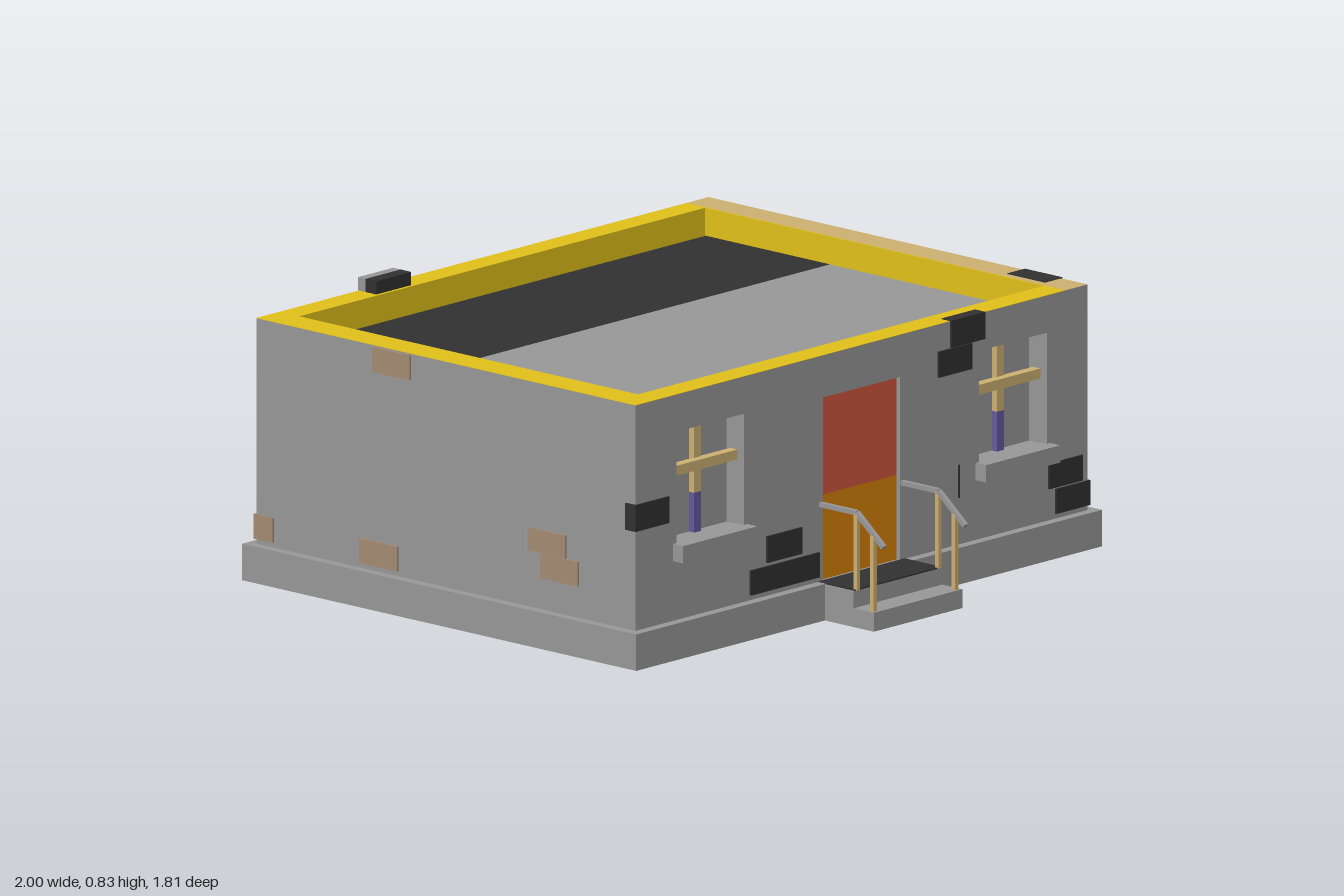
import * as THREE from 'three';

const mat = (name, color) => {
  const m = new THREE.MeshStandardMaterial({ color });
  m.name = name;
  return m;
};
const GRAY = mat('concrete gray', 0x999999), DARK = mat('dark stone', 0x313131);
const YELLOW = mat('core yellow', 0xe3c21a), TAN = mat('wood tan', 0xcfb273);
const RED = mat('door red', 0xd2563f), ORANGE = mat('door orange', 0xd88203);
const PURPLE = mat('bar purple', 0x675aa0), BROWN = mat('brown stone', 0xa48c72);

// Outer and inner wall planes, wall height and roof level
const X = 0.97, XI = 0.875, ZF = 0.645, ZFI = 0.567, ZB = -0.865, ZBI = -0.79, H = 0.79, ROOF = 0.717;

export function createModel() {
  const root = new THREE.Group();
  root.name = 'building';

  // Box given by its limits on each axis
  const box = (name, m, x0, x1, y0, y1, z0, z1, parent = root) => {
    const mesh = new THREE.Mesh(new THREE.BoxGeometry(x1 - x0, y1 - y0, z1 - z0), m);
    mesh.position.set((x0 + x1) / 2, (y0 + y1) / 2, (z0 + z1) / 2);
    mesh.name = name;
    parent.add(mesh);
  };
  // Square bar between two points in the same x plane
  const bar = (name, m, x, [z0, y0], [z1, y1], t) => {
    const mesh = new THREE.Mesh(new THREE.BoxGeometry(t, t, Math.hypot(z1 - z0, y1 - y0)), m);
    mesh.position.set(x, (y0 + y1) / 2, (z0 + z1) / 2);
    mesh.rotation.x = -Math.atan2(y1 - y0, z1 - z0);
    mesh.name = name;
    root.add(mesh);
  };

  // Plinth ring, reaching under the walls
  box('plinthFront', GRAY, -1, 1, 0, 0.11, 0.61, 0.675);
  box('plinthBack', GRAY, -1, 1, 0, 0.11, -0.895, -0.83);
  box('plinthRight', GRAY, 0.935, 1, 0, 0.11, -0.83, 0.61);
  box('plinthLeft', GRAY, -1, -0.935, 0, 0.11, -0.83, 0.61);

  // Long walls with openings cut through
  const longWall = (name, z0, z1, openings) => {
    const shape = new THREE.Shape();
    shape.moveTo(-XI, 0.004).lineTo(XI, 0.004).lineTo(XI, H - 0.001).lineTo(-XI, H - 0.001).closePath();
    for (const [a, b, c, d] of openings) {
      const hole = new THREE.Path();
      hole.moveTo(a, c).lineTo(a, d).lineTo(b, d).lineTo(b, c).closePath();
      shape.holes.push(hole);
    }
    const mesh = new THREE.Mesh(new THREE.ExtrudeGeometry(shape, { depth: z1 - z0, bevelEnabled: false }), GRAY);
    mesh.position.z = z0;
    mesh.name = name;
    root.add(mesh);
    box(name + 'Top', YELLOW, -XI, XI, H - 0.001, H, z0, z1);
    box(name + 'Underside', YELLOW, -XI, XI, 0.002, 0.004, z0, z1);
  };
  const opening = x => [x - 0.145, x + 0.145, 0.34, 0.677];
  longWall('frontWall', ZFI, ZF, [opening(-0.65), opening(0.65), [-0.165, 0.165, 0.11, 0.662]]);
  longWall('backWall', ZB, ZBI, [-0.65, 0, 0.65].map(opening));
  box('frontLining', YELLOW, -XI, XI, 0.002, H, ZFI - 0.004, ZFI);
  box('backLining', YELLOW, -XI, XI, 0.002, H, ZBI, ZBI + 0.004);

  // Short walls
  for (const s of [-1, 1]) {
    const lo = s < 0 ? -X : XI, hi = s < 0 ? -XI : X;
    box('sideWall', GRAY, lo, hi, 0.004, H - 0.001, ZB, ZF);
    box('sideWallTop', s < 0 ? YELLOW : TAN, lo, hi, H - 0.001, H, ZB, ZF);
    box('sideWallUnderside', YELLOW, lo, hi, 0.002, 0.004, ZB, ZF);
    const e = s * XI, f = s * (XI - 0.004);
    box('sideLining', YELLOW, Math.min(e, f), Math.max(e, f), 0.002, H, ZBI, ZFI);
  }

  // Roof deck in two tones, and the floor
  box('roofDark', DARK, -0.84, 0.84, ROOF - 0.02, ROOF, -0.755, -0.26);
  box('roofLight', GRAY, -0.84, 0.84, ROOF - 0.02, ROOF, -0.26, 0.535);
  box('floor', DARK, -0.84, 0.84, 0.002, 0.02, -0.755, 0.535);

  // Crack in the front wall
  box('wallCrack', DARK, 0.415, 0.421, 0.25, 0.35, ZF, ZF + 0.001);

  // Windows, built facing +z with the outer wall plane at z = 0
  const addWindow = (x, z, back) => {
    const g = new THREE.Group();
    g.name = 'window';
    box('windowPane', GRAY, -0.145, 0.145, 0.34, 0.677, -0.074, -0.07, g);
    box('upperMullion', TAN, -0.015, 0.015, 0.46, 0.677, -0.07, -0.05, g);
    box('lowerMullion', PURPLE, -0.015, 0.015, 0.34, 0.46, -0.07, -0.05, g);
    box('crossbar', TAN, -0.145, 0.145, 0.535, 0.565, -0.055, -0.025, g);
    box('sill', GRAY, -0.16, 0.16, 0.29, 0.342, -0.03, 0.04, g);
    box('innerSill', TAN, -0.237, 0.237, 0.29, 0.342, -0.11, -0.08, g);
    g.position.set(x, 0, z);
    if (back) g.rotation.y = Math.PI;
    root.add(g);
  };
  for (const x of [-0.65, 0.65]) addWindow(x, ZF, false);
  for (const x of [-0.65, 0, 0.65]) addWindow(x, ZB, true);

  // Door
  box('upperDoor', RED, -0.165, 0.165, 0.365, 0.662, 0.6, 0.632);
  box('lowerDoor', ORANGE, -0.165, 0.165, 0.11, 0.365, 0.6, 0.632);

  // Steps, running through the wall to an inner threshold
  box('upperStep', GRAY, -0.19, 0.19, 0, 0.108, 0.536, 0.79);
  box('landing', DARK, -0.185, 0.185, 0.108, 0.112, ZF, 0.79);
  box('innerThreshold', DARK, -0.19, 0.19, 0.108, 0.112, 0.536, 0.562);
  box('lowerStep', GRAY, -0.19, 0.19, 0, 0.057, 0.79, 0.87);

  // Railings
  for (const x of [-0.175, 0.175]) {
    box('railPost', TAN, x - 0.007, x + 0.007, 0.055, 0.285, 0.848, 0.862);
    box('railPost', TAN, x - 0.007, x + 0.007, 0.11, 0.338, 0.781, 0.795);
    bar('slopedRail', GRAY, x, [0.79, 0.342], [0.897, 0.255], 0.014);
    bar('levelRail', GRAY, x, [ZF, 0.342], [0.792, 0.342], 0.014);
  }

  // Exposed stones: [material, start, end, bottom, top] along each wall
  const P = 0.006, D = 0.07;
  for (const [m, a, b, c, d] of [
    [DARK, -0.977, -0.83, 0.41, 0.49], [DARK, -0.41, -0.26, 0.21, 0.29],
    [DARK, -0.48, -0.185, 0.125, 0.2], [DARK, 0.38, 0.525, 0.71, 0.792],
    [DARK, 0.325, 0.47, 0.63, 0.708], [DARK, 0.8, 0.945, 0.205, 0.282],
    [DARK, 0.83, 0.976, 0.125, 0.2]])
    box('frontStone', m, a, b, c, d, ZF - 0.035, ZF + P);
  box('cornerStoneSide', GRAY, 0.9, 0.976, 0.125, 0.2, 0.577, ZF - 0.035);
  for (const [m, a, b, c, d] of [
    [BROWN, 0.31, 0.46, 0.205, 0.282], [GRAY, 0.76, 0.91, 0.71, 0.785],
    [GRAY, -0.88, -0.73, 0.205, 0.282], [GRAY, -0.83, -0.69, 0.125, 0.2],
    [BROWN, -0.976, -0.83, 0.125, 0.2]])
    box('backStone', m, a, b, c, d, ZB - P, ZB + D);
  for (const [m, a, b, c, d] of [
    [DARK, 0.39, 0.54, 0.71, 0.792], [DARK, 0.43, 0.575, 0.63, 0.708],
    [DARK, -0.265, -0.115, 0.5, 0.575], [DARK, -0.61, -0.455, 0.125, 0.2]])
    box('rightStone', m, X - D, X + P, c, d, a, b);
  for (const [m, a, b, c, d] of [
    [BROWN, -0.4, -0.25, 0.71, 0.785], [BROWN, 0.22, 0.37, 0.28, 0.35],
    [BROWN, 0.27, 0.42, 0.205, 0.279], [BROWN, -0.45, -0.3, 0.125, 0.2]])
    box('leftStone', m, -X - P, -X + D, c, d, a, b);

  // Raised stone on the back parapet
  box('parapetStone', DARK, -0.53, -0.38, 0.755, 0.83, -0.838, -0.796);
  box('parapetStoneBack', GRAY, -0.53, -0.38, 0.755, 0.83, -0.868, -0.838);

  return root;
}
